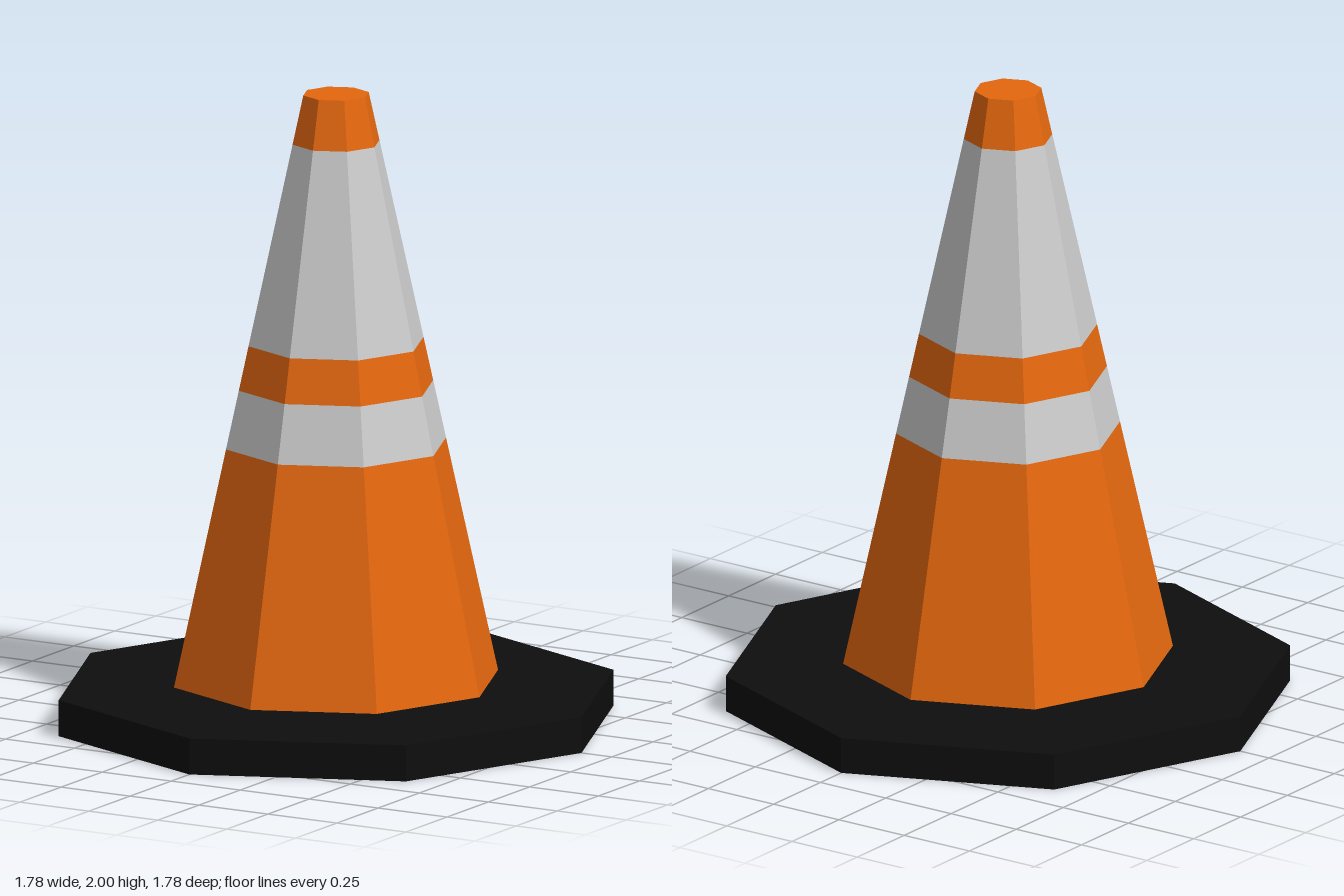
import * as THREE from 'three';

const SIDES = 8;
const BOTTOM = { y: 0.135, r: 0.52 };
const TOP = { y: 2, r: 0.105 };

// Cone radius at a given height
const radiusAt = (y) =>
  THREE.MathUtils.mapLinear(y, BOTTOM.y, TOP.y, BOTTOM.r, TOP.r);

const material = (color) =>
  new THREE.MeshStandardMaterial({ color, flatShading: true, side: THREE.DoubleSide });

// Eight-sided open shell from [radius, height] pairs, listed bottom to top
function shell(name, profile, mat) {
  const points = profile.map(([r, y]) => new THREE.Vector2(r, y));
  const geometry = new THREE.LatheGeometry(points, SIDES).toNonIndexed();
  geometry.computeVertexNormals();
  const mesh = new THREE.Mesh(geometry, mat);
  mesh.name = name;
  return mesh;
}

export function createModel() {
  const group = new THREE.Group();
  group.name = 'trafficCone';

  const orange = material(0xe4670f);
  const grey = material(0xcccccc);
  const black = material(0x0e0e0e);

  // Hollow foot: upright rim and gently sloping top, open underneath
  group.add(shell('base', [[0.89, 0], [0.89, 0.115], [BOTTOM.r, BOTTOM.y]], black));

  // Stacked cone bands, alternating body colour and reflective stripes
  const bands = [
    ['lowerBody', BOTTOM.y, 0.885, orange],
    ['lowerStripe', 0.885, 1.07, grey],
    ['middleBody', 1.07, 1.21, orange],
    ['upperStripe', 1.21, 1.845, grey],
    ['tip', 1.845, TOP.y, orange],
  ];
  for (const [name, y0, y1, mat] of bands) {
    group.add(shell(name, [[radiusAt(y0), y0], [radiusAt(y1), y1]], mat));
  }

  // Flat cap closing the tip
  const cap = new THREE.Mesh(new THREE.CircleGeometry(TOP.r, SIDES), orange);
  cap.name = 'tipCap';
  cap.rotation.x = -Math.PI / 2;
  cap.position.y = TOP.y;
  group.add(cap);

  return group;
}
